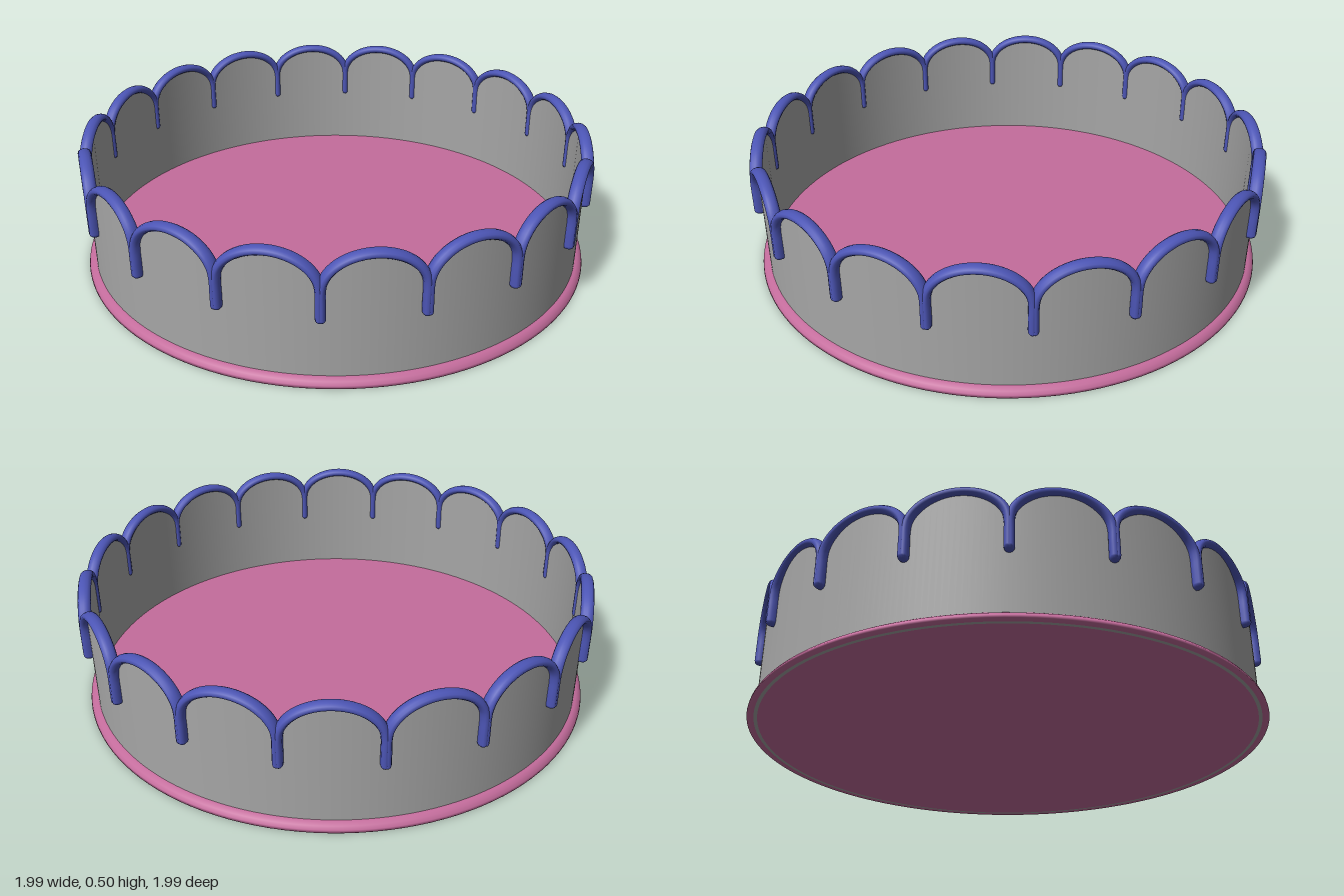
import * as THREE from 'three';

const COUNT = 18;            // scallops around the rim
const STEP = (Math.PI * 2) / COUNT;
const CUSP_R = 0.973;        // radius at which neighbouring arches meet
const HALF = CUSP_R * Math.sin(STEP / 2) - 0.002;
const CHORD_Z = CUSP_R * Math.cos(STEP / 2);
const SPRING_Y = 0.36, RISE = 0.123, LEG_Y = 0.26, TUBE = 0.016;

// height of the scallop's centre line at a distance x from its middle
const archY = (x) => SPRING_Y + RISE * Math.sqrt(Math.max(0, 1 - (x / HALF) ** 2));

function archGeometry() {
  const pts = [[-HALF, LEG_Y], [-HALF, 0.31]];
  for (let i = 0; i <= 12; i++) {
    const a = Math.PI * (1 - i / 12);
    pts.push([HALF * Math.cos(a), SPRING_Y + RISE * Math.sin(a)]);
  }
  pts.push([HALF, 0.31], [HALF, LEG_Y]);
  const curve = new THREE.CatmullRomCurve3(pts.map(([x, y]) => new THREE.Vector3(x, y, 0)));
  return new THREE.TubeGeometry(curve, 48, TUBE, 12).scale(1, 1, 1.5);
}

// open cylinder whose upper edge follows the scallops
function wallGeometry(radius) {
  const geo = new THREE.CylinderGeometry(radius, radius, 1, COUNT * 16, 1, true);
  const p = geo.attributes.position;
  for (let i = 0; i < p.count; i++) {
    const angle = Math.atan2(p.getX(i), p.getZ(i));
    const local = angle - Math.round(angle / STEP) * STEP;
    p.setY(i, p.getY(i) < 0 ? 0 : archY(CHORD_Z * Math.tan(local)));
  }
  return geo;
}

export function createModel() {
  const group = new THREE.Group();
  const grey = new THREE.MeshStandardMaterial({ color: 0xa6a6a6, side: THREE.DoubleSide });
  grey.name = 'wall grey';
  const pink = new THREE.MeshStandardMaterial({ color: 0xc46c9c, side: THREE.DoubleSide });
  pink.name = 'base pink';
  const blue = new THREE.MeshStandardMaterial({ color: 0x4c55b5 });
  blue.name = 'trim blue';

  const add = (name, geo, mat, parent = group) => {
    const mesh = new THREE.Mesh(geo, mat);
    mesh.name = name;
    parent.add(mesh);
    return mesh;
  };

  // floor and rounded foot
  add('floor', new THREE.CylinderGeometry(0.957, 0.957, 0.02, 128).translate(0, 0.01, 0), pink);
  const foot = [[0.97, 0], [0.995, 0], [0.993, 0.01], [0.985, 0.021], [0.975, 0.028], [0.963, 0.03]];
  add('footRing', new THREE.LatheGeometry(foot.map(([x, y]) => new THREE.Vector2(x, y)), 128), pink);

  // thin scalloped wall
  add('wallOutside', wallGeometry(0.965), grey);
  add('wallInside', wallGeometry(0.957), grey);
  add('wallBottom', new THREE.RingGeometry(0.957, 0.97, 128).rotateX(Math.PI / 2), grey);

  // blue arches with rounded leg ends
  const arch = archGeometry();
  const cap = new THREE.SphereGeometry(TUBE, 12, 8).scale(1, 1, 1.5);
  for (let i = 0; i < COUNT; i++) {
    const scallop = new THREE.Group();
    scallop.name = 'scallop' + (i + 1);
    scallop.rotation.y = i * STEP;
    add('arch', arch, blue, scallop).position.z = CHORD_Z;
    for (const s of [-1, 1]) add('legEnd', cap, blue, scallop).position.set(s * HALF, LEG_Y, CHORD_Z);
    group.add(scallop);
  }
  return group;
}
